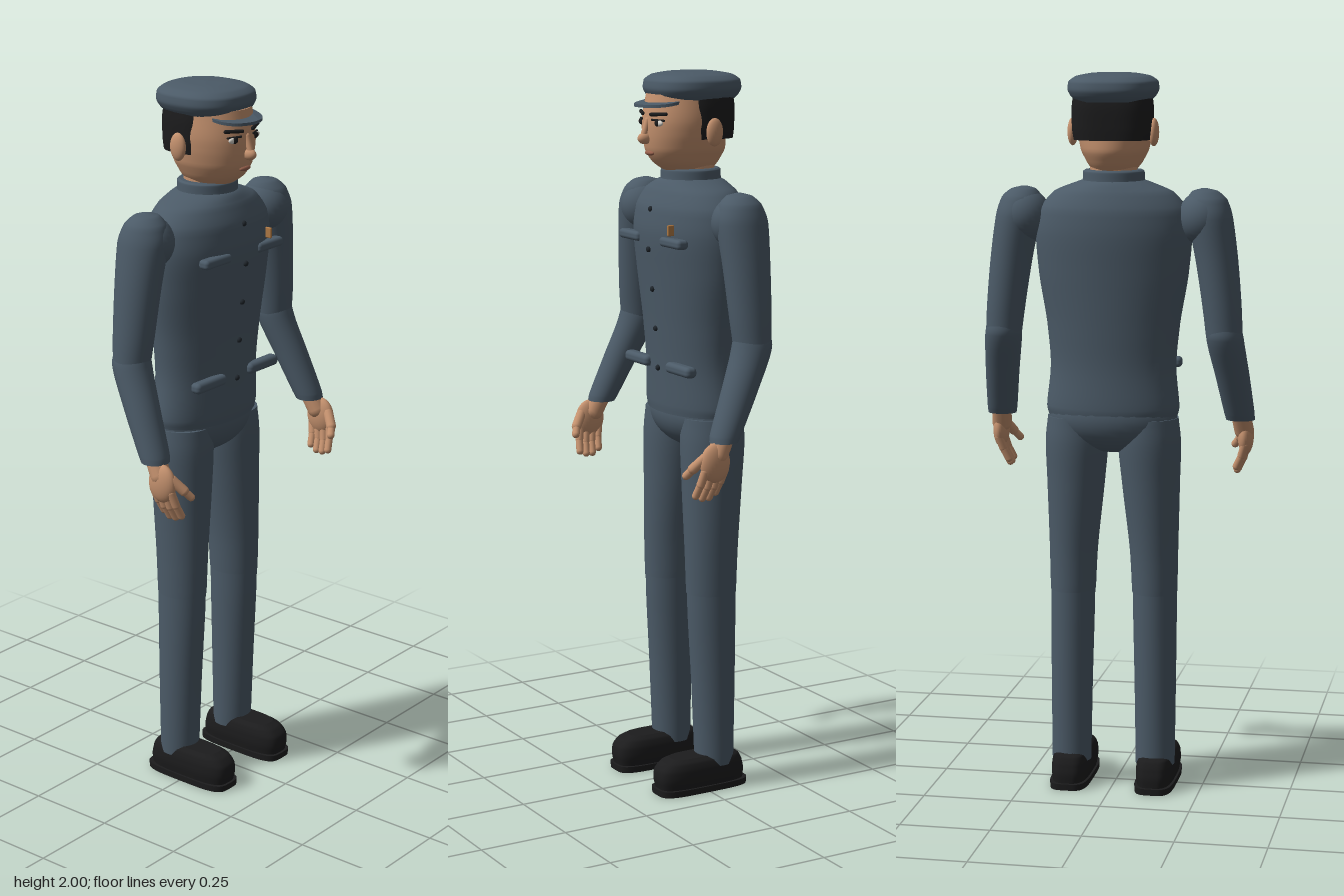
import * as THREE from 'three';
import { RoundedBoxGeometry } from 'three/addons/geometries/RoundedBoxGeometry.js';

const mat = (name, color) => Object.assign(new THREE.MeshStandardMaterial({ color }), { name });

// Smooth closed body through horizontal sections [x, y, z, rx, rz], listed bottom to top.
// power 2 gives ellipses, higher values give squarer sections.
function loft(sections, power = 2, sides = 40, steps = 5) {
  const centres = new THREE.CatmullRomCurve3(sections.map(s => new THREE.Vector3(s[0], s[1], s[2])));
  const radii = new THREE.CatmullRomCurve3(sections.map(s => new THREE.Vector3(s[3], s[4], 0)));
  const rows = (sections.length - 1) * steps;
  const pos = [], index = [];
  const bend = v => Math.sign(v) * Math.abs(v) ** (2 / power);
  for (let i = 0; i <= rows; i++) {
    const c = centres.getPoint(i / rows), r = radii.getPoint(i / rows);
    for (let j = 0; j < sides; j++) {
      const a = (j / sides) * Math.PI * 2;
      pos.push(c.x + r.x * bend(Math.cos(a)), c.y, c.z + r.y * bend(Math.sin(a)));
    }
  }
  for (let i = 0; i < rows; i++) {
    for (let j = 0; j < sides; j++) {
      const a = i * sides + j, b = i * sides + (j + 1) % sides;
      index.push(a, a + sides, b, b, a + sides, b + sides);
    }
  }
  // End caps with their own vertices, so the rims stay sharp
  for (const [row, top] of [[0, false], [rows, true]]) {
    const start = pos.length / 3, s = sections[top ? sections.length - 1 : 0];
    for (let j = 0; j < sides * 3; j++) pos.push(pos[row * sides * 3 + j]);
    pos.push(s[0], s[1], s[2]);
    for (let j = 0; j < sides; j++) {
      const a = start + j, b = start + (j + 1) % sides, c = start + sides;
      index.push(...(top ? [a, c, b] : [a, b, c]));
    }
  }
  const g = new THREE.BufferGeometry();
  g.setAttribute('position', new THREE.Float32BufferAttribute(pos, 3));
  g.setIndex(index);
  g.computeVertexNormals();
  return g;
}

function ellipsoid(x, y, z, rx, ry, rz) {
  return new THREE.SphereGeometry(1, 28, 20).scale(rx, ry, rz).translate(x, y, z);
}

// Rounded rod between two points
function rod(from, to, r) {
  const a = new THREE.Vector3(...from), b = new THREE.Vector3(...to);
  const d = b.clone().sub(a);
  const g = new THREE.CapsuleGeometry(r, d.length(), 6, 14);
  g.applyQuaternion(new THREE.Quaternion().setFromUnitVectors(new THREE.Vector3(0, 1, 0), d.normalize()));
  const m = a.add(b).multiplyScalar(0.5);
  return g.translate(m.x, m.y, m.z);
}

function box(x, y, z, w, h, d, r) {
  return new RoundedBoxGeometry(w, h, d, 3, r).translate(x, y, z);
}

export function createModel() {
  const cloth = mat('slate cloth', 0x4b5a67);
  const skin = mat('skin', 0xc4916e);
  const black = mat('black', 0x1c1c1d);
  const button = mat('dark button', 0x20262c);
  const lip = mat('lip', 0x96604c);
  const white = mat('eye white', 0xd8d4cc);
  const brass = mat('brass', 0xb07a45);

  const model = new THREE.Group();
  const add = (parent, name, geometry, material) => {
    const m = new THREE.Mesh(geometry, material);
    m.name = name;
    parent.add(m);
    return m;
  };

  // Jacket body, collar and hips
  add(model, 'jacket', loft([
    [0, 1.065, -0.047, 0.18, 0.106], [0, 1.09, -0.047, 0.185, 0.109], [0, 1.2, -0.042, 0.175, 0.109],
    [0, 1.32, -0.04, 0.185, 0.116], [0, 1.45, -0.038, 0.207, 0.126], [0, 1.56, -0.036, 0.216, 0.134],
    [0, 1.63, -0.037, 0.205, 0.128], [0, 1.68, -0.037, 0.163, 0.107], [0, 1.705, -0.036, 0.1, 0.088],
    [0, 1.715, -0.035, 0.07, 0.07]]), cloth);
  add(model, 'collar', loft([
    [0, 1.685, -0.036, 0.088, 0.086], [0, 1.71, -0.036, 0.085, 0.082], [0, 1.733, -0.036, 0.084, 0.081],
    [0, 1.738, -0.036, 0.078, 0.075]]), cloth);
  add(model, 'hips', ellipsoid(0, 1.06, -0.05, 0.18, 0.1, 0.106), cloth);

  // Buttons down the front
  for (const [y, z] of [[1.63, 0.09], [1.52, 0.097], [1.41, 0.085], [1.3, 0.075], [1.19, 0.068]])
    add(model, 'button', ellipsoid(0, y, z, 0.008, 0.008, 0.007), button);

  // Parts that exist on both sides
  for (const s of [1, -1]) {
    const side = s > 0 ? 'left' : 'right';
    const part = (name, geometry, material) => add(model, side + name, geometry, material);

    part('ChestPocket', box(s * 0.112, 1.548, 0.083, 0.108, 0.026, 0.034, 0.01), cloth);
    part('LowerPocket', box(s * 0.113, 1.2, 0.061, 0.125, 0.03, 0.034, 0.012), cloth);

    // Arm
    part('Shoulder', ellipsoid(s * 0.248, 1.61, -0.038, 0.07, 0.074, 0.075), cloth);
    part('UpperArm', loft([
      [s * 0.308, 1.29, -0.045, 0.05, 0.052], [s * 0.302, 1.36, -0.043, 0.053, 0.058],
      [s * 0.285, 1.5, -0.04, 0.058, 0.066], [s * 0.266, 1.61, -0.038, 0.062, 0.072],
      [s * 0.257, 1.66, -0.037, 0.055, 0.058], [s * 0.252, 1.683, -0.037, 0.034, 0.034],
      [s * 0.25, 1.69, -0.037, 0.008, 0.008]]), cloth);
    part('Forearm', loft([
      [s * 0.34, 1.042, 0.062, 0.04, 0.038], [s * 0.338, 1.06, 0.055, 0.042, 0.042],
      [s * 0.325, 1.17, 0.005, 0.047, 0.05], [s * 0.31, 1.28, -0.042, 0.051, 0.056],
      [s * 0.307, 1.32, -0.046, 0.045, 0.05]]), cloth);

    // Hand
    const hand = new THREE.Group();
    hand.name = side + 'Hand';
    model.add(hand);
    add(hand, 'wrist', rod([s * 0.341, 1.06, 0.06], [s * 0.347, 1.01, 0.085], 0.028), skin);
    add(hand, 'palm', ellipsoid(s * 0.351, 0.99, 0.095, 0.022, 0.054, 0.044), skin);
    for (let i = 0; i < 4; i++) {
      const z = 0.066 + i * 0.02, lift = [0.012, 0, 0, 0.008][i];
      add(hand, 'finger', rod([s * 0.352, 0.97, z], [s * 0.342, 0.925 + lift, z + 0.008], 0.0115), skin);
      add(hand, 'fingertip', rod([s * 0.342, 0.925 + lift, z + 0.008], [s * 0.327, 0.893 + lift, z + 0.014], 0.0105), skin);
    }
    add(hand, 'thumb', rod([s * 0.347, 1.005, 0.125], [s * 0.328, 0.975, 0.15], 0.014), skin);
    add(hand, 'thumbTip', rod([s * 0.328, 0.975, 0.15], [s * 0.312, 0.955, 0.161], 0.011), skin);

    // Trouser leg, overlapping at the knee
    part('Thigh', loft([
      [s * 0.116, 0.565, -0.035, 0.063, 0.072], [s * 0.114, 0.68, -0.036, 0.067, 0.076],
      [s * 0.106, 0.87, -0.042, 0.08, 0.085], [s * 0.102, 0.99, -0.046, 0.087, 0.09],
      [s * 0.1, 1.06, -0.047, 0.082, 0.086]]), cloth);
    part('Shin', loft([
      [s * 0.12, 0.07, -0.043, 0.055, 0.055], [s * 0.119, 0.3, -0.04, 0.058, 0.062],
      [s * 0.117, 0.5, -0.036, 0.061, 0.069], [s * 0.116, 0.6, -0.035, 0.062, 0.071]]), cloth);

    // Shoe
    part('Sole', loft([
      [s * 0.121, 0, 0.005, 0.055, 0.139], [s * 0.121, 0.018, 0.005, 0.056, 0.14]], 4), black);
    part('Shoe', loft([
      [s * 0.121, 0.018, 0.006, 0.05, 0.132], [s * 0.121, 0.045, 0.008, 0.054, 0.135],
      [s * 0.121, 0.07, 0.009, 0.053, 0.131], [s * 0.121, 0.09, 0.005, 0.047, 0.117],
      [s * 0.121, 0.1, 0.003, 0.035, 0.095]], 3.4), black);

    // Face details
    part('Ear', ellipsoid(s * 0.112, 1.84, -0.045, 0.014, 0.038, 0.025), skin);
    part('EyeWhite', ellipsoid(s * 0.044, 1.865, 0.09, 0.02, 0.009, 0.007), white);
    part('Pupil', ellipsoid(s * 0.043, 1.865, 0.094, 0.01, 0.009, 0.006), black);
    part('EyeLid', rod([s * 0.026, 1.873, 0.1], [s * 0.062, 1.872, 0.084], 0.003), black);
    part('Brow', rod([s * 0.022, 1.887, 0.101], [s * 0.068, 1.89, 0.081], 0.005), black);
  }
  add(model, 'pin', box(0.108, 1.582, 0.09, 0.007, 0.03, 0.02, 0.003), brass);

  // Head
  add(model, 'neck', new THREE.CylinderGeometry(0.065, 0.065, 0.1, 32).translate(0, 1.73, -0.036), skin);
  add(model, 'head', loft([
    [0, 1.725, -0.03, 0.05, 0.06], [0, 1.755, -0.02, 0.074, 0.095], [0, 1.79, -0.018, 0.092, 0.115],
    [0, 1.83, -0.015, 0.101, 0.118], [0, 1.87, -0.015, 0.105, 0.118], [0, 1.94, -0.022, 0.1, 0.112]]), skin);
  add(model, 'nose', ellipsoid(0, 1.822, 0.107, 0.014, 0.016, 0.022), skin);
  add(model, 'noseBridge', rod([0, 1.87, 0.098], [0, 1.825, 0.113], 0.009), skin);
  add(model, 'mouth', ellipsoid(0, 1.782, 0.093, 0.022, 0.007, 0.008), lip);
  add(model, 'hair', loft([
    [0, 1.82, -0.052, 0.104, 0.089], [0, 1.85, -0.051, 0.109, 0.092], [0, 1.9, -0.051, 0.11, 0.093],
    [0, 1.94, -0.05, 0.106, 0.09]], 2.7), black);

  // Cap with a soft crown
  add(model, 'cap', loft([
    [0, 1.922, -0.04, 0.1, 0.108], [0, 1.937, -0.04, 0.114, 0.123], [0, 1.955, -0.04, 0.122, 0.13],
    [0, 1.975, -0.04, 0.12, 0.127], [0, 1.99, -0.04, 0.1, 0.107], [0, 1.998, -0.04, 0.058, 0.062],
    [0, 2, -0.04, 0.006, 0.006]], 2.4, 48), cloth);

  // Peak: thin half oval, sloping forward and drooping at its sides
  const outline = new THREE.Shape().absellipse(0, 0.05, 0.082, 0.078, 0, Math.PI * 2);
  const peak = new THREE.ExtrudeGeometry(outline, { depth: 0.008, bevelEnabled: false, curveSegments: 32 });
  peak.rotateX(Math.PI / 2);
  const p = peak.attributes.position;
  for (let i = 0; i < p.count; i++)
    p.setY(i, p.getY(i) + 1.942 - 0.22 * p.getZ(i) - 1.2 * p.getX(i) ** 2);
  peak.computeVertexNormals();
  add(model, 'capPeak', peak, cloth);

  return model;
}
